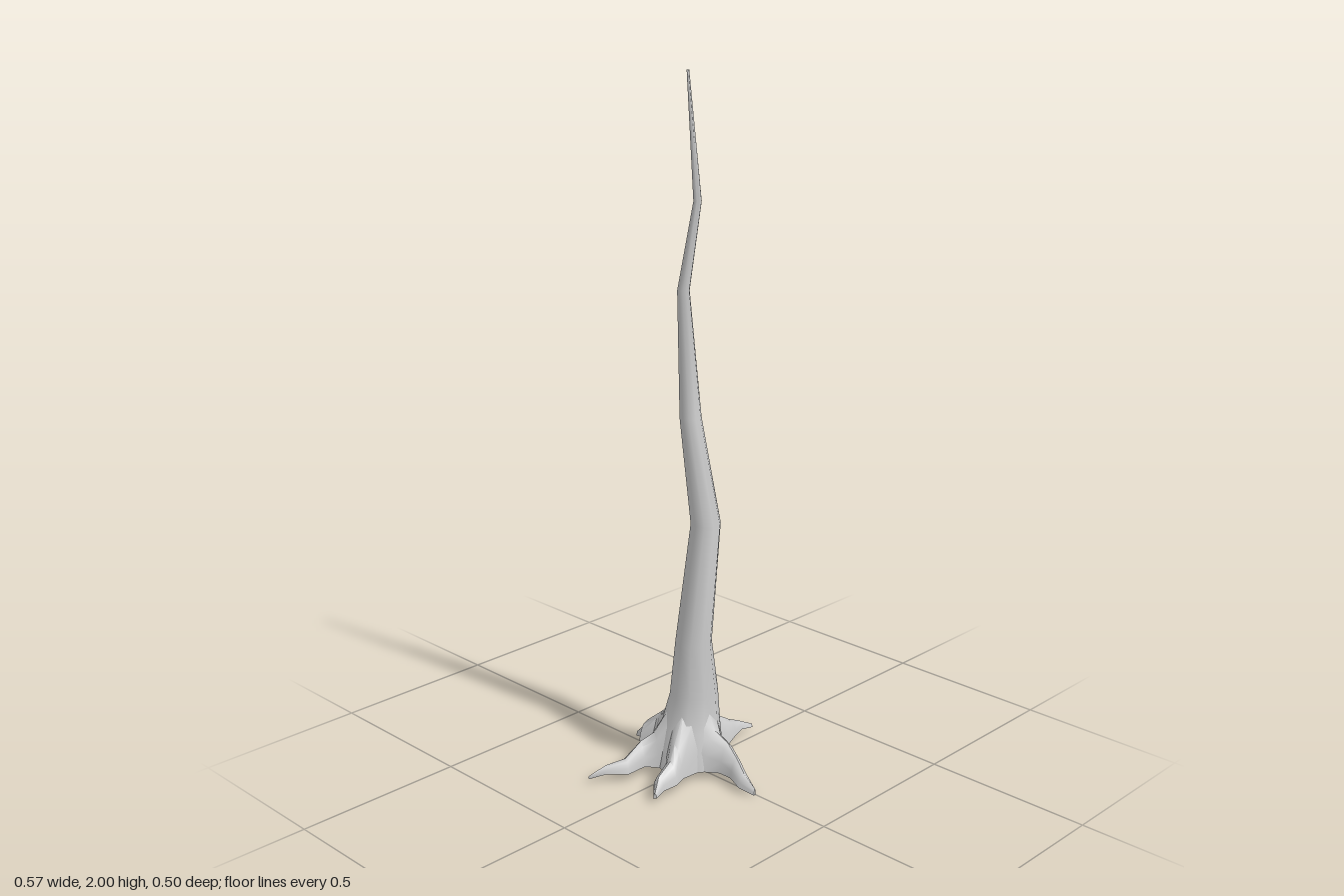
import * as THREE from 'three';
import { toCreasedNormals } from 'three/addons/utils/BufferGeometryUtils.js';

const material = new THREE.MeshStandardMaterial({ color: 0xcccccc });

// Skin a list of equal-length closed rings, counter-clockwise seen from the last ring, and cap both ends.
function loft(rings, crease) {
  const n = rings[0].length, last = rings.length - 1;
  const index = [];
  for (let i = 0; i < last; i++) {
    for (let j = 0; j < n; j++) {
      const a = i * n + j, b = i * n + (j + 1) % n;
      index.push(a, b, a + n, b, b + n, a + n);
    }
  }
  for (let j = 1; j < n - 1; j++) {
    index.push(0, j + 1, j);
    index.push(last * n, last * n + j, last * n + j + 1);
  }
  const geometry = new THREE.BufferGeometry();
  geometry.setAttribute('position', new THREE.Float32BufferAttribute(rings.flat(2), 3));
  geometry.setIndex(index);
  return toCreasedNormals(geometry, crease);
}

function addMesh(group, name, geometry) {
  const mesh = new THREE.Mesh(geometry, material);
  mesh.name = name;
  group.add(mesh);
}

// Trunk sections: height, x from, x to, z from, z to
const trunkSections = [
  [0.03, -0.115, 0.1, -0.12, 0.09],
  [0.08, -0.105, 0.095, -0.11, 0.085],
  [0.14, -0.09, 0.09, -0.095, 0.075],
  [0.24, -0.06, 0.085, -0.075, 0.06],
  [0.41, -0.066, 0.04, -0.037, 0.068],
  [0.75, 0, 0.083, -0.035, 0.055],
  [1.05, 0, 0.062, -0.07, -0.008],
  [1.41, 0, 0.034, -0.07, -0.035],
  [1.66, -0.003, 0.02, -0.002, 0.02],
  [2, -0.011, -0.004, -0.014, -0.007],
];

function trunkRing([y, x0, x1, z0, z1]) {
  return Array.from({ length: 10 }, (_, i) => {
    const t = (i / 10) * Math.PI * 2;
    return [
      (x0 + x1) / 2 + (x1 - x0) / 2 * Math.cos(t), y,
      (z0 + z1) / 2 - (z1 - z0) / 2 * Math.sin(t),
    ];
  });
}

// Root sections: edge A (x, z), edge B (x, z), ridge height, underside height
const roots = {
  leftRoot: [
    [0.04, -0.1, 0.05, 0.06, 0.23, 0.03],
    [0.08, -0.085, 0.095, 0.015, 0.15, 0.03],
    [0.13, -0.053, 0.14, 0.015, 0.11, 0.03],
    [0.185, -0.062, 0.195, -0.008, 0.075, 0.03],
    [0.24, -0.06, 0.24, -0.028, 0.05, 0.025],
    [0.286, -0.031, 0.285, -0.025, 0.028, 0.018],
  ],
  frontRoot: [
    [0.075, 0.05, -0.07, 0.05, 0.22, 0.03],
    [0.05, 0.085, -0.04, 0.085, 0.145, 0.03],
    [0.05, 0.122, -0.014, 0.122, 0.115, 0.03],
    [0.035, 0.165, -0.015, 0.165, 0.085, 0.03],
    [0.014, 0.21, -0.028, 0.208, 0.06, 0.022],
    [0.001, 0.248, -0.008, 0.249, 0.025, 0.005],
  ],
  rightFrontRoot: [
    [-0.04, 0.075, -0.075, -0.04, 0.2, 0.03],
    [-0.11, 0.07, -0.112, 0, 0.125, 0.03],
    [-0.15, 0.084, -0.137, 0.018, 0.09, 0.03],
    [-0.195, 0.078, -0.2, 0.04, 0.065, 0.027],
    [-0.23, 0.084, -0.236, 0.076, 0.035, 0.02],
  ],
  rightBackRoot: [
    [-0.085, 0.015, -0.03, -0.09, 0.2, 0.03],
    [-0.112, -0.025, -0.08, -0.1, 0.125, 0.03],
    [-0.137, -0.06, -0.115, -0.112, 0.1, 0.03],
    [-0.2, -0.06, -0.185, -0.103, 0.07, 0.03],
    [-0.243, -0.11, -0.227, -0.13, 0.05, 0.027],
    [-0.285, -0.134, -0.286, -0.139, 0.028, 0.02],
  ],
  backRoot: [
    [-0.07, -0.06, 0.075, -0.06, 0.22, 0.03],
    [-0.055, -0.11, 0.05, -0.115, 0.15, 0.03],
    [-0.02, -0.148, 0.045, -0.14, 0.125, 0.03],
    [-0.036, -0.188, 0.022, -0.18, 0.09, 0.03],
    [0, -0.218, 0.028, -0.216, 0.055, 0.02],
    [0.015, -0.253, 0.019, -0.252, 0.02, 0.006],
  ],
};

// Arched top from edge A over the ridge to edge B; the closing side is the flat underside
function rootRing([ax, az, bx, bz, ridge, low]) {
  return Array.from({ length: 7 }, (_, i) => {
    const t = (i / 6) * Math.PI, k = (1 - Math.cos(t)) / 2;
    return [
      ax + (bx - ax) * k,
      low + (ridge - low) * Math.sin(t) ** 1.3,
      az + (bz - az) * k,
    ];
  });
}

export function createModel() {
  const model = new THREE.Group();
  model.name = 'bareTrunk';
  addMesh(model, 'trunk', loft(trunkSections.map(trunkRing), 1));
  for (const [name, sections] of Object.entries(roots)) {
    addMesh(model, name, loft(sections.map(rootRing), 1));
  }
  return model;
}
